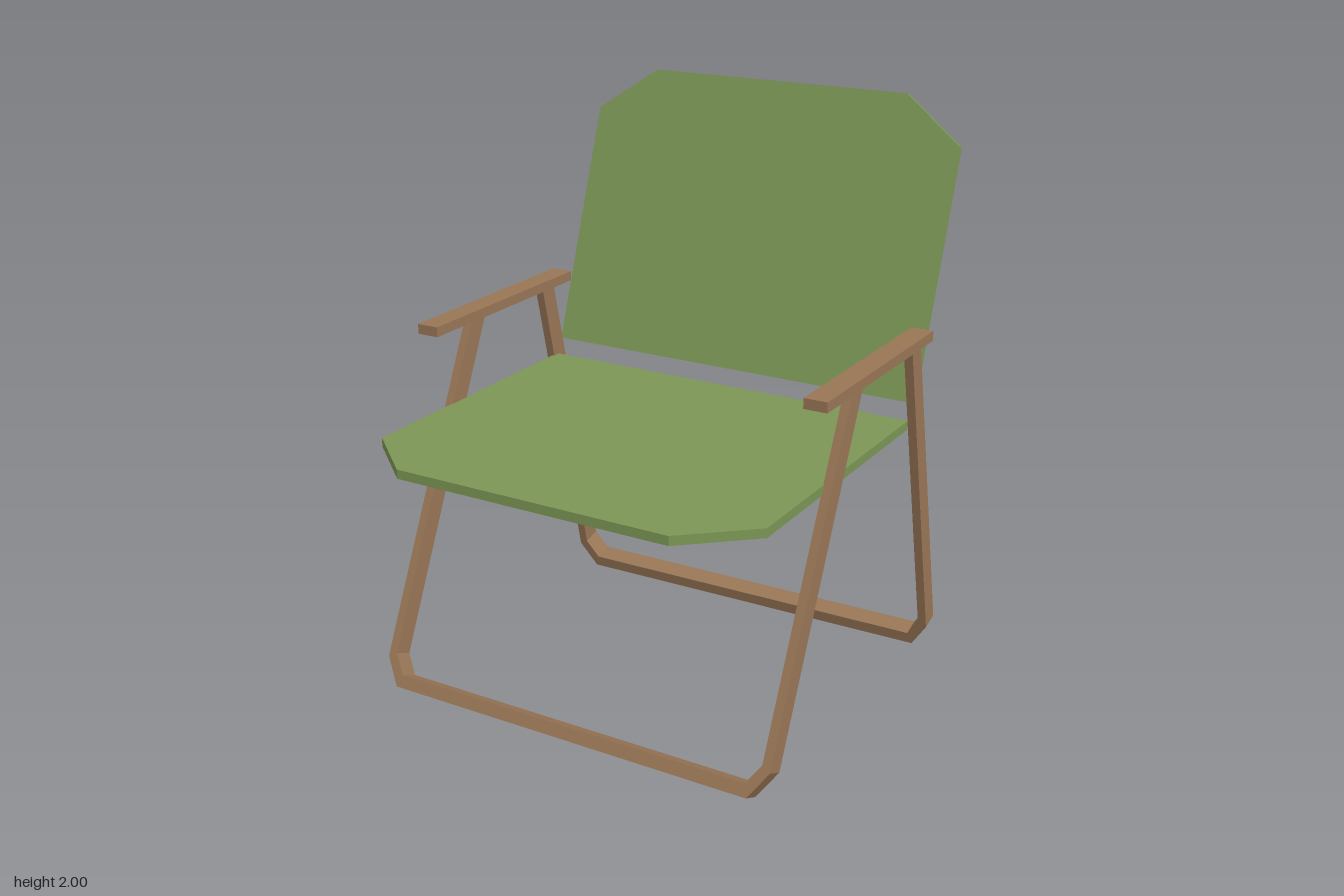
import * as THREE from 'three';

export function createModel() {
  const model = new THREE.Group();
  model.name = 'foldingChair';

  const fabric = new THREE.MeshStandardMaterial({ color: 0x7c9655 });
  fabric.name = 'green fabric';
  const wood = new THREE.MeshStandardMaterial({ color: 0x997656 });
  wood.name = 'brown wood';

  // Extrudes a closed outline, shifted so it ends at z = front
  const slab = (name, points, depth, front, material) => {
    const shape = new THREE.Shape(points.map(([x, y]) => new THREE.Vector2(x, y)));
    const geometry = new THREE.ExtrudeGeometry(shape, { depth, bevelEnabled: false });
    geometry.translate(0, 0, front - depth);
    const mesh = new THREE.Mesh(geometry, material);
    mesh.name = name;
    model.add(mesh);
    return mesh;
  };

  // Fabric panel with two clipped corners at its far end
  const panel = (name, length, clip) => slab(name, [
    [-0.72, 0], [0.72, 0], [0.72, length - clip],
    [0.5, length], [-0.5, length], [-0.72, length - clip],
  ], 0.032, 0, fabric);

  // U-shaped leg frame with chamfered lower corners
  const legFrame = (name, length) => slab(name, [
    [-0.687, 0], [0.687, 0], [0.748, 0.095], [0.748, length],
    [0.717, length], [0.717, 0.112], [0.672, 0.044],
    [-0.672, 0.044], [-0.717, 0.112], [-0.717, length],
    [-0.748, length], [-0.748, 0.095],
  ], 0.072, 0.036, wood);

  // Seat and backrest
  const seat = panel('seat', 1.235, 0.195);
  seat.rotation.x = Math.PI / 2;
  seat.position.set(0, 0.93, -0.41);

  const backrest = panel('backrest', 1.045, 0.16);
  backrest.rotation.x = -0.341;
  backrest.position.set(0, 1.016, -0.44);

  // Crossing leg frames, the rear one turned very slightly
  const frontFrame = legFrame('frontLegFrame', 1.343);
  frontFrame.rotation.x = -0.437;
  frontFrame.position.set(0, 0.04, 0.637);

  const rearFrame = legFrame('rearLegFrame', 1.286);
  rearFrame.rotation.set(0.239, 0.016, 0, 'YXZ');
  rearFrame.position.set(0, 0.009, -0.66);

  // Armrests
  for (const [name, side] of [['leftArmrest', 1], ['rightArmrest', -1]]) {
    const armrest = new THREE.Mesh(new THREE.BoxGeometry(0.08, 0.035, 0.82), wood);
    armrest.name = name;
    armrest.position.set(side * 0.73, 1.257, -0.06);
    model.add(armrest);
  }

  return model;
}
